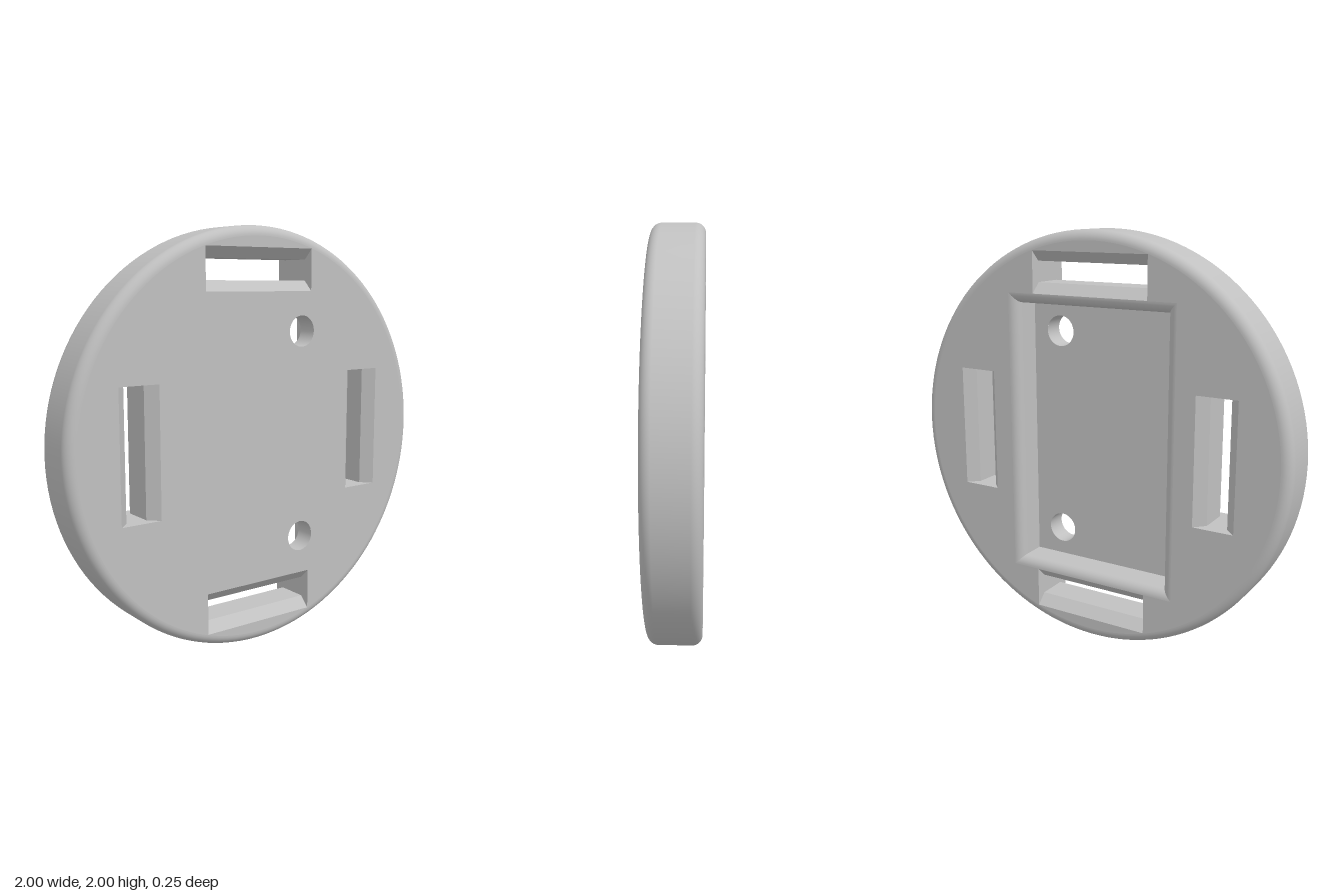
import * as THREE from 'three';
import { mergeGeometries } from 'three/addons/utils/BufferGeometryUtils.js';

const HALF = 0.125;            // half thickness of the disc
const FLAT = 0.952;            // radius of the flat faces inside the rounded rim
const FLOOR_Z = 0.025;         // pocket floor
const LIP = 0.049;             // rounding of the pocket mouth
const CHAMFER = 0.05;
const SEGMENTS = 128;

// centre x, centre y, half width, half height, chamfer direction
const SLOTS = [
  ['topSlot', 0, 0.8, 0.305, 0.1, 'y'],
  ['bottomSlot', 0, -0.8, 0.305, 0.1, 'y'],
  ['leftSlot', 0.65, 0, 0.1, 0.305, 'x'],
  ['rightSlot', -0.65, 0, 0.1, 0.305, 'x'],
];
const POCKET = { w: 0.4, h: 0.65 };
const HOLES = [[0.25, 0.51], [0.25, -0.51]];
const HOLE_R = 0.075;

function rectPath(cx, cy, w, h) {
  return new THREE.Path([[-w, -h], [-w, h], [w, h], [w, -h]]
    .map(([x, y]) => new THREE.Vector2(cx + x, cy + y)));
}

function roundPath(x, y, r) {
  return new THREE.Path().absarc(x, y, r, 0, Math.PI * 2, true);
}

// Inward-facing rectangular walls through [halfWidth, halfHeight, z], front to back
function rectWalls(profile, smooth) {
  const signs = [[-1, -1], [1, -1], [1, 1], [-1, 1]];
  const sides = signs.map((a, i) => {
    const b = signs[(i + 1) % 4];
    const pos = [], index = [];
    profile.forEach(([w, h, z], k) => {
      pos.push(a[0] * w, a[1] * h, z, b[0] * w, b[1] * h, z);
      const n = k * 2;
      if (k < profile.length - 1) index.push(n, n + 1, n + 2, n + 1, n + 3, n + 2);
    });
    let g = new THREE.BufferGeometry();
    g.setAttribute('position', new THREE.Float32BufferAttribute(pos, 3));
    g.setIndex(index);
    if (!smooth) g = g.toNonIndexed();
    g.computeVertexNormals();
    return g;
  });
  return mergeGeometries(sides);
}

export function createModel() {
  const group = new THREE.Group();
  group.name = 'slottedDisc';
  const grey = new THREE.MeshStandardMaterial({ color: 0xc0c0c0 });
  grey.name = 'grey';

  function add(name, geometry, x = 0, y = 0, z = 0) {
    const mesh = new THREE.Mesh(geometry, grey);
    mesh.name = name;
    mesh.position.set(x, y + 1, z);
    group.add(mesh);
  }

  // Rounded rim
  const r = 1 - FLAT, rim = [];
  for (const side of [-1, 1]) {
    for (let i = 0; i <= 10; i++) {
      const a = (side < 0 ? i - 10 : i) / 10 * Math.PI / 2;
      rim.push(new THREE.Vector2(FLAT + r * Math.cos(a), side * (HALF - r) + r * Math.sin(a)));
    }
  }
  add('rim', new THREE.LatheGeometry(rim, SEGMENTS).rotateX(Math.PI / 2));

  // Flat faces with their openings
  const slotPaths = () => SLOTS.map(([, x, y, w, h]) => rectPath(x, y, w, h));
  const holePaths = () => HOLES.map(([x, y]) => roundPath(x, y, HOLE_R));
  const disc = () => new THREE.Shape().absarc(0, 0, FLAT, 0, Math.PI * 2, false);

  const front = disc();
  front.holes.push(...slotPaths(), ...holePaths());
  add('frontFace', new THREE.ShapeGeometry(front, SEGMENTS / 2), 0, 0, HALF);

  const back = disc();
  back.holes.push(...slotPaths(), rectPath(0, 0, POCKET.w + LIP, POCKET.h + LIP));
  add('backFace', new THREE.ShapeGeometry(back, SEGMENTS / 2).rotateY(Math.PI), 0, 0, -HALF);

  // Strap slots, chamfered on the long edges at both faces
  for (const [name, x, y, w, h, dir] of SLOTS) {
    const nw = dir === 'x' ? w - CHAMFER : w;
    const nh = dir === 'y' ? h - CHAMFER : h;
    const zin = HALF - CHAMFER;
    add(name, rectWalls([[w, h, HALF], [nw, nh, zin], [nw, nh, -zin], [w, h, -HALF]], false), x, y);
  }

  // Pocket in the back, with a rounded mouth
  const wall = [[POCKET.w, POCKET.h, FLOOR_Z]];
  for (let i = 0; i <= 10; i++) {
    const a = i / 10 * Math.PI / 2;
    const out = LIP * (1 - Math.cos(a));
    wall.push([POCKET.w + out, POCKET.h + out, -HALF + LIP * (1 - Math.sin(a))]);
  }
  add('pocketWalls', rectWalls(wall, true));

  const floor = new THREE.Shape(rectPath(0, 0, POCKET.w, POCKET.h).getPoints());
  floor.holes.push(...HOLES.map(([x, y]) => roundPath(-x, y, HOLE_R)));
  add('pocketFloor', new THREE.ShapeGeometry(floor, SEGMENTS / 2).rotateY(Math.PI), 0, 0, FLOOR_Z);

  // Screw holes from the front face to the pocket floor
  for (const [x, y] of HOLES) {
    const bore = [new THREE.Vector2(HOLE_R, HALF), new THREE.Vector2(HOLE_R, FLOOR_Z)];
    add('screwHole', new THREE.LatheGeometry(bore, SEGMENTS / 2).rotateX(Math.PI / 2), x, y);
  }

  // Lathe turns +y into +z, so every part already faces the front
  return group;
}
